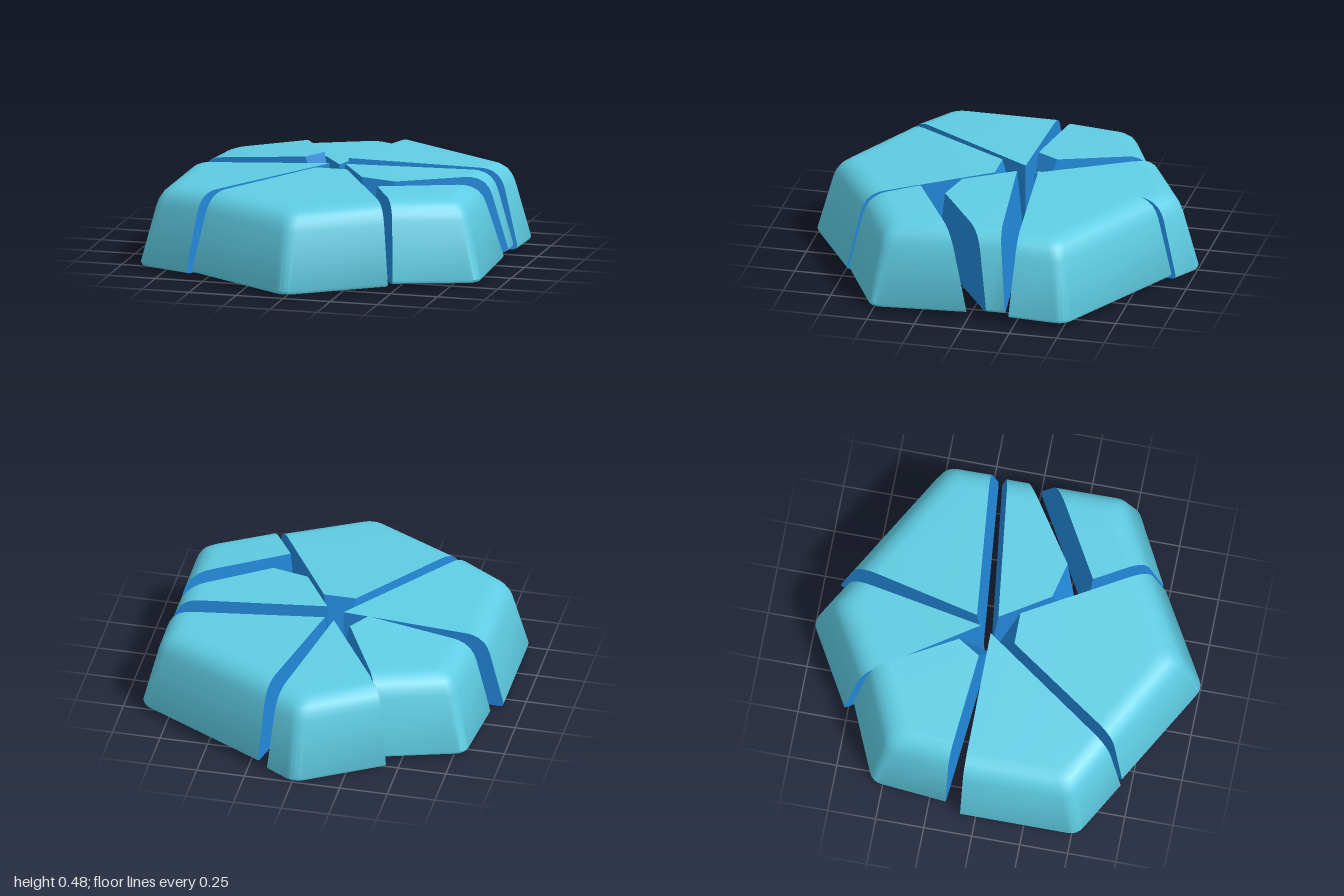
import * as THREE from 'three';
import { toCreasedNormals } from 'three/addons/utils/BufferGeometryUtils.js';

const OUT = 'out'; // marks an edge that belongs to the rounded rim
const HEIGHT = 0.41;

// Rim profile: [inset, height]
const PROFILE = [
  [0.02, 0], [0.005, 0.007], [0, 0.02], [0.072, 0.31], [0.085, 0.345],
  [0.105, 0.375], [0.135, 0.397], [0.17, 0.408], [0.2, HEIGHT],
];

// Each shard: base outline [x, z], one entry per edge (rim, or how far a cut
// leans inwards at the top), and tilt [height at origin, slope x, slope z].
const SHARDS = [
  { name: 'frontShard',
    outline: [[-0.57, 0.7], [0, 1.012], [0.48, 0.73], [0, -0.07], [-0.05, -0.07]],
    edges: [OUT, OUT, 0, 0.12, 0.03], tilt: [0.065, 0, -0.045] },
  { name: 'rightFrontShard',
    outline: [[-0.9, -0.08], [-0.9, 0.53], [-0.6, 0.7], [-0.06, -0.08]],
    edges: [OUT, OUT, 0, 0], tilt: [0.06, 0.055, 0] },
  { name: 'rightBackShard',
    outline: [[-0.37, -0.745], [-0.81, -0.555], [-0.85, -0.165], [-0.033, -0.09], [-0.025, -0.103]],
    edges: [OUT, OUT, 0.01, 0.154, 0.03], tilt: [0.096, 0.09, 0.03] },
  { name: 'backShard',
    outline: [[0.15, -0.92], [-0.01, -1.012], [-0.44, -0.77], [-0.01, -0.12]],
    edges: [OUT, OUT, 0, 0.015], tilt: [0.045, 0, 0.04] },
  { name: 'leftBackShard',
    outline: [[0.9, -0.22], [0.9, -0.515], [0.2, -0.91], [0.01, -0.13]],
    edges: [OUT, OUT, 0, 0.035], tilt: [0.075, -0.03, 0.03] },
  { name: 'leftSliver',
    outline: [[0.885, -0.1], [0.885, -0.2], [0.01, -0.09], [0.262, 0.305], [0.275, 0.308]],
    edges: [OUT, 0.035, 0, 0.093, 0], tilt: [0.065, -0.01, 0] },
  { name: 'leftFrontShard',
    outline: [[0.5, 0.715], [0.9, 0.505], [0.89, 0], [0.275, 0.35]],
    edges: [OUT, OUT, 0.05, 0.025], tilt: [0.096, -0.06, -0.03] },
];

// Where two lines, each a point and a direction, meet
function meet(a, b) {
  const t = (b.p.clone().sub(a.p)).cross(b.d) / a.d.cross(b.d);
  return a.p.clone().addScaledVector(a.d, t);
}

// Outline of a shard at one profile level; every point knows the edge after it
function ring({ outline, edges, tilt }, [inset, y]) {
  const n = outline.length;
  const lines = outline.map((point, i) => {
    const p = new THREE.Vector2(...point);
    const d = new THREE.Vector2(...outline[(i + 1) % n]).sub(p).normalize();
    const shift = edges[i] === OUT ? inset : edges[i] * y / HEIGHT;
    return { p: p.addScaledVector(new THREE.Vector2(d.y, -d.x), shift), d };
  });
  const points = [];
  const add = (v, rim) => points.push({
    pos: new THREE.Vector3(v.x, y + tilt[0] + tilt[1] * v.x + tilt[2] * v.y, v.y), rim,
  });
  for (let i = 0; i < n; i++) {
    const before = (i + n - 1) % n;
    const corner = meet(lines[before], lines[i]);
    const rim = edges[i] === OUT;
    if (rim && edges[before] === OUT) {
      // Rounded corner between two rim edges
      const c = 0.05;
      new THREE.QuadraticBezierCurve(
        corner.clone().addScaledVector(lines[before].d, -c), corner,
        corner.clone().addScaledVector(lines[i].d, c),
      ).getPoints(4).forEach((v) => add(v, true));
    } else add(corner, rim);
  }
  return points;
}

function toGeometry(corners) {
  const geometry = new THREE.BufferGeometry().setFromPoints(corners);
  geometry.computeVertexNormals();
  return geometry;
}

function makeShard(spec, shellMaterial, cutMaterial) {
  const rings = PROFILE.map((level) => ring(spec, level));
  const shell = [], cuts = [];
  const n = rings[0].length;
  // Rim walls and broken faces
  for (let r = 0; r + 1 < rings.length; r++) {
    for (let i = 0; i < n; i++) {
      const j = (i + 1) % n;
      const [a, b, c, d] = [rings[r][i], rings[r][j], rings[r + 1][j], rings[r + 1][i]].map((q) => q.pos);
      (rings[r][i].rim ? shell : cuts).push(a, b, c, a, c, d);
    }
  }
  // Top and underside
  const base = rings[0], top = rings[rings.length - 1];
  for (let i = 1; i + 1 < n; i++) {
    shell.push(top[0].pos, top[i].pos, top[i + 1].pos);
    shell.push(base[0].pos, base[i + 1].pos, base[i].pos);
  }
  const group = new THREE.Group();
  group.name = spec.name;
  const shellMesh = new THREE.Mesh(toCreasedNormals(toGeometry(shell), 0.7), shellMaterial);
  shellMesh.name = 'shell';
  const cutMesh = new THREE.Mesh(toGeometry(cuts), cutMaterial);
  cutMesh.name = 'brokenFaces';
  group.add(shellMesh, cutMesh);
  return group;
}

export function createModel() {
  const shellMaterial = new THREE.MeshStandardMaterial({ color: 0x5fcde4 });
  shellMaterial.name = 'pale turquoise';
  const cutMaterial = new THREE.MeshStandardMaterial({ color: 0x2389da });
  cutMaterial.name = 'deep blue';
  const model = new THREE.Group();
  model.name = 'brokenHexTile';
  SHARDS.forEach((spec) => model.add(makeShard(spec, shellMaterial, cutMaterial)));
  return model;
}
